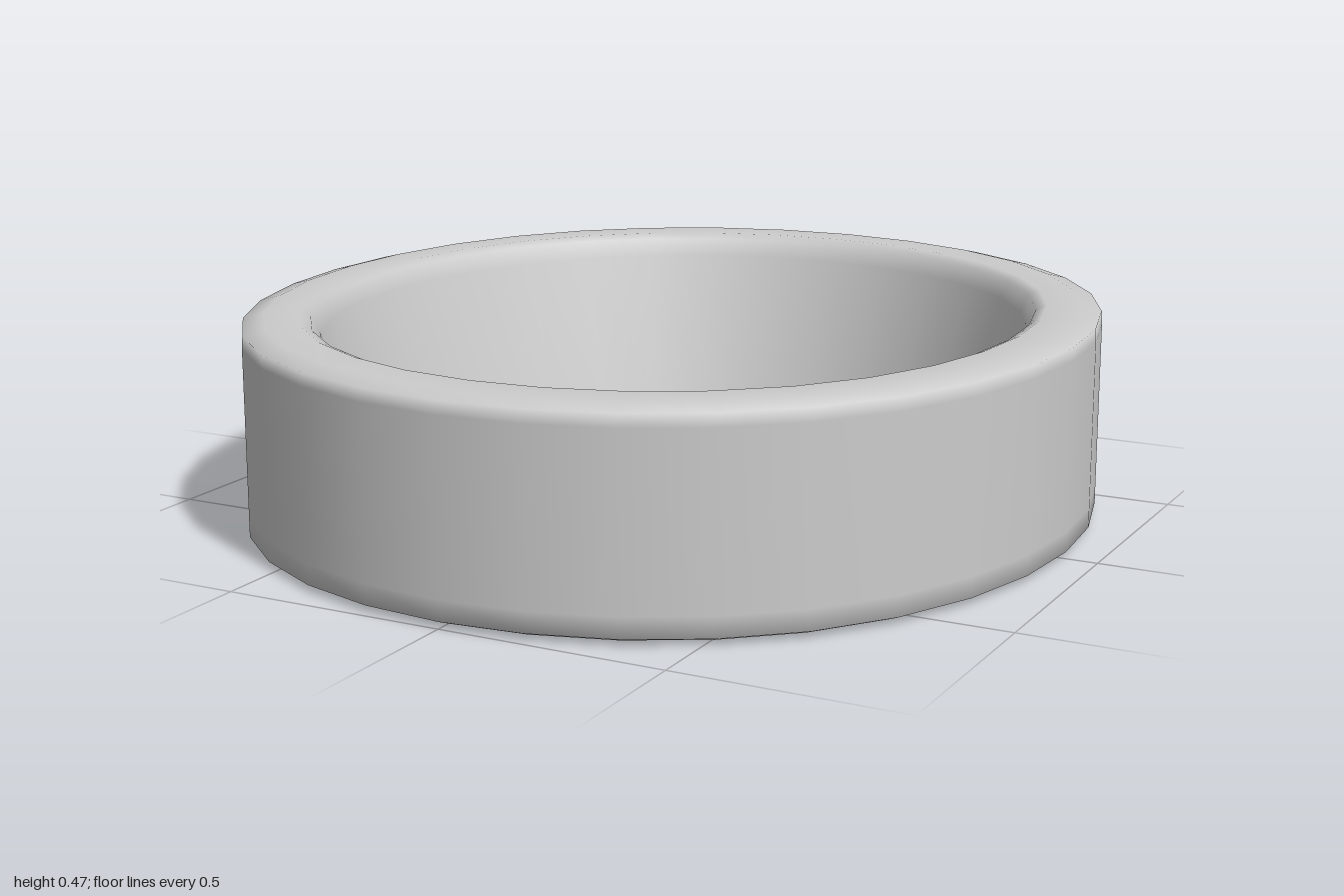
import * as THREE from 'three';

const SIDES = 32;

// Squash the round turning into the slightly squarish oval plan
function toOval(geometry) {
  const p = geometry.attributes.position;
  for (let i = 0; i < p.count; i++) {
    const angle = Math.atan2(p.getX(i), p.getZ(i));
    const swell = 1 + 0.012 * Math.sin(2 * angle) ** 2;
    p.setX(i, p.getX(i) * swell);
    p.setZ(i, p.getZ(i) * swell);
  }
  return geometry.scale(0.93, 1, 1);
}

function turned(name, points, material) {
  const profile = points.map(([r, y]) => new THREE.Vector2(r, y));
  const mesh = new THREE.Mesh(toOval(new THREE.LatheGeometry(profile, SIDES)), material);
  mesh.name = name;
  return mesh;
}

export function createModel() {
  const group = new THREE.Group();
  group.name = 'ovalDish';
  const material = new THREE.MeshStandardMaterial({ color: 0xcccccc });

  // Underside, outer wall, softened rim and sloping inner wall
  group.add(turned('dishBody', [
    [0, 0], [0.93, 0], [0.97, 0.003], [1, 0.015], [1, 0.06],
    [1, 0.43], [0.998, 0.458], [0.95, 0.47],
    [0.87, 0.47], [0.845, 0.46], [0.825, 0.42], [0.725, 0.08],
  ], material));

  // Flat floor, meeting the inner wall at a sharp edge
  group.add(turned('dishFloor', [[0.725, 0.08], [0, 0.08]], material));

  return group;
}
